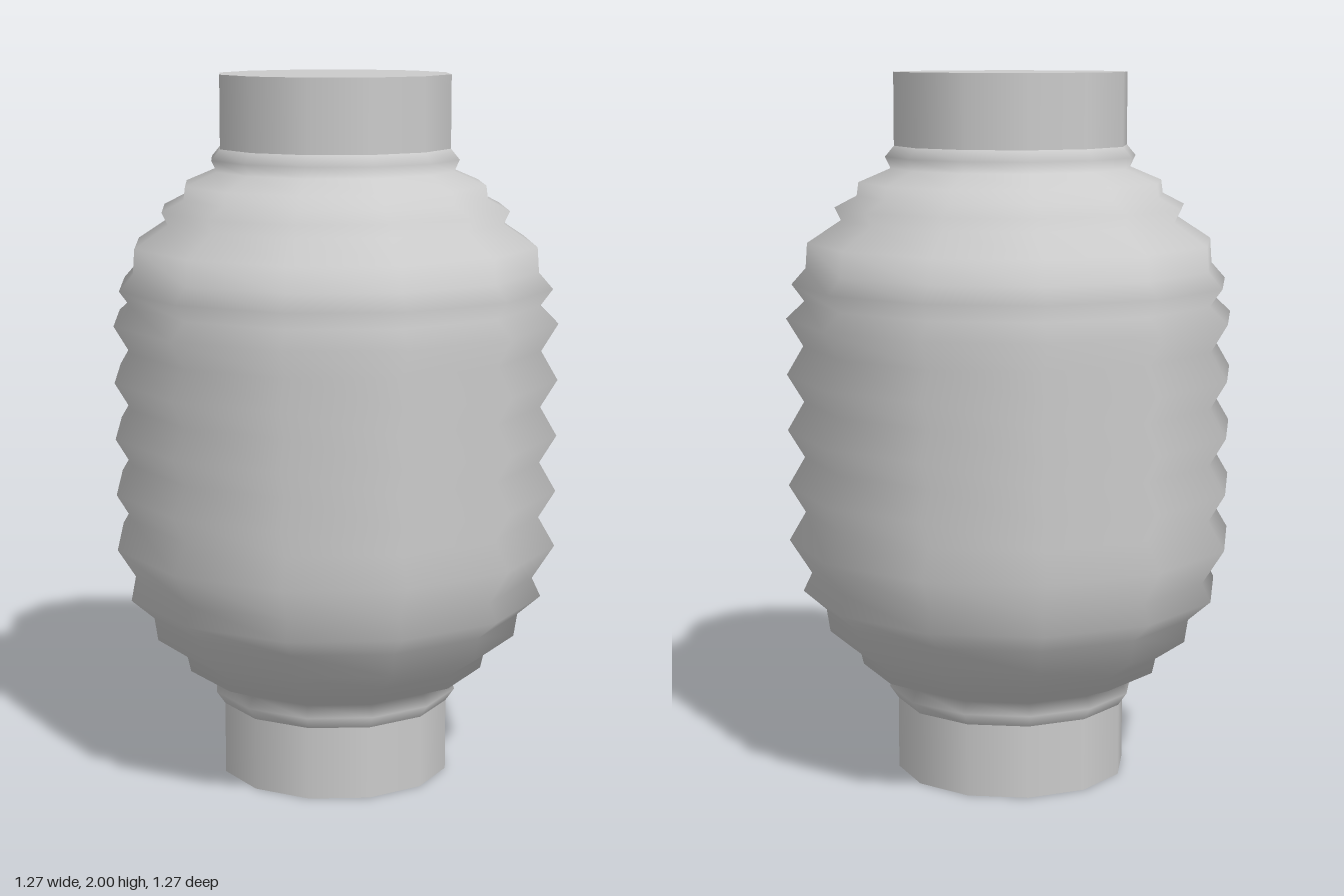
import * as THREE from 'three';

const SIDES = 12;

export function createModel() {
  const group = new THREE.Group();
  const material = new THREE.MeshStandardMaterial({ color: 0xcccccc });

  const add = (name, geometry, y = 0) => {
    const mesh = new THREE.Mesh(geometry, material);
    mesh.name = name;
    mesh.position.y = y;
    group.add(mesh);
  };

  // Bellows profile, bottom to top: [radius, height]
  const lowerFolds = [
    [0.33, 0.207], [0.355, 0.243], [0.34, 0.276], [0.43, 0.312],
    [0.44, 0.355], [0.525, 0.413], [0.535, 0.478], [0.6, 0.535], [0.575, 0.587],
  ];
  const upperFolds = [
    [0.585, 1.367], [0.62, 1.415], [0.58, 1.46], [0.575, 1.53], [0.48, 1.592],
    [0.497, 1.628], [0.435, 1.66], [0.43, 1.697], [0.34, 1.735], [0.355, 1.767], [0.33, 1.797],
  ];
  // Even folds around the widest part
  const middleFolds = [];
  for (let i = 0; i < 5; i++) {
    const y = 0.685 + i * 0.1585;
    middleFolds.push([0.637, y]);
    if (i < 4) middleFolds.push([0.59, y + 0.08]);
  }
  const profile = [...lowerFolds, ...middleFolds, ...upperFolds]
    .map(([r, y]) => new THREE.Vector2(r, y));
  add('bellows', new THREE.LatheGeometry(profile, SIDES));

  // Capped collars at both ends
  const collar = (name, bottom, top) =>
    add(name, new THREE.CylinderGeometry(0.33, 0.33, top - bottom, SIDES), (bottom + top) / 2);
  collar('bottomCollar', 0, 0.207);
  collar('topCollar', 1.797, 2);

  return group;
}
